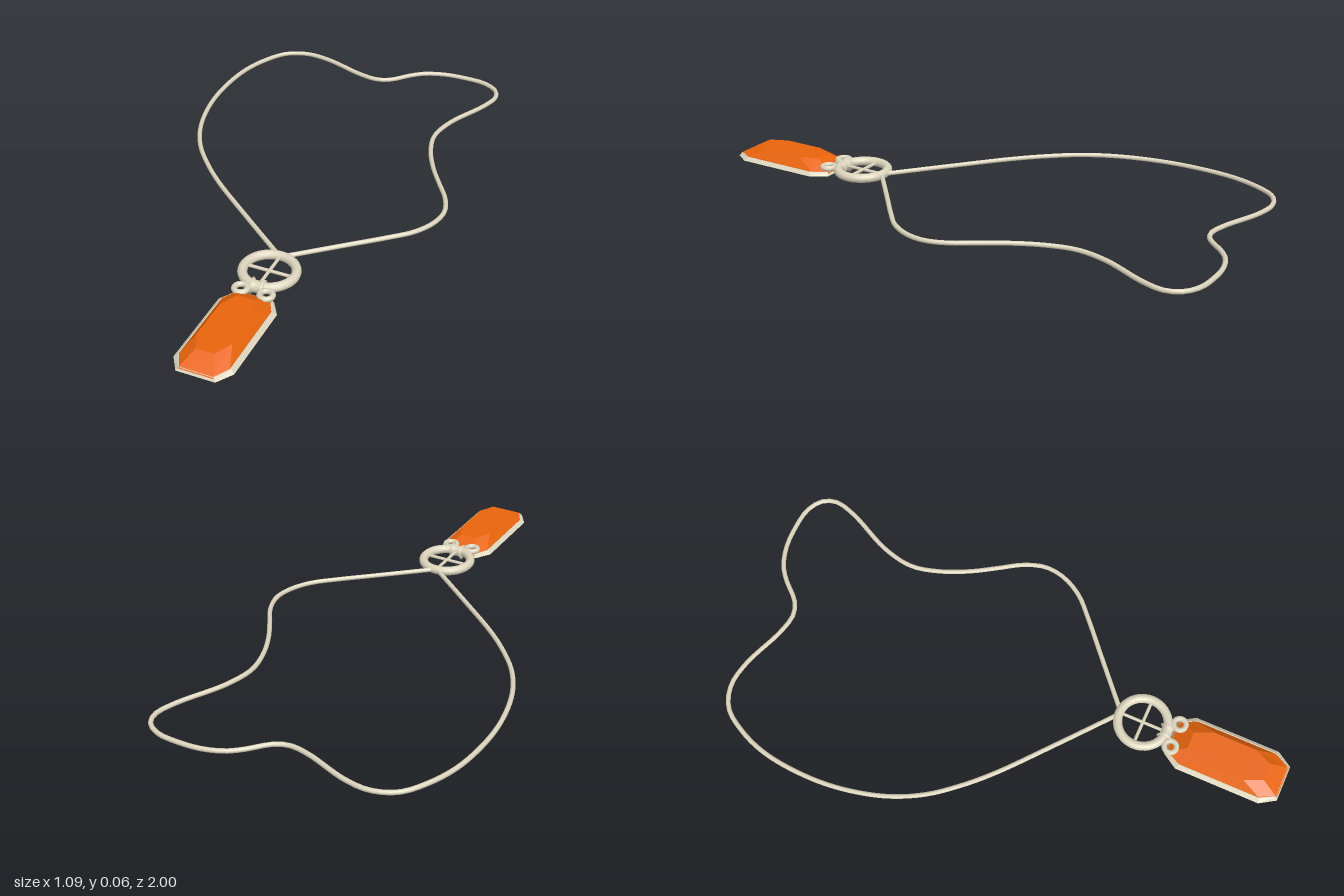
import * as THREE from 'three';

const METAL = new THREE.MeshStandardMaterial({ color: 0xddd5bd });
const METAL_FLAT = new THREE.MeshStandardMaterial({ color: 0xddd5bd, flatShading: true });
const GEM = new THREE.MeshStandardMaterial({ color: 0xe8640c, flatShading: true });
const CX = 0.123; // centre line of the pendant

function add(group, name, geometry, material, x = 0, y = 0, z = 0) {
  const mesh = new THREE.Mesh(geometry, material);
  mesh.name = name;
  mesh.position.set(x, y, z);
  group.add(mesh);
  return mesh;
}

// Rod between two points
function rod(group, name, a, b, r) {
  const dir = b.clone().sub(a);
  const mid = a.clone().add(b).multiplyScalar(0.5);
  const mesh = add(group, name, new THREE.CylinderGeometry(r, r, dir.length(), 8), METAL, mid.x, mid.y, mid.z);
  mesh.quaternion.setFromUnitVectors(new THREE.Vector3(0, 1, 0), dir.normalize());
}

// Faceted solid lofted through elongated octagons:
// w half width, s half straight side, e half end edge, l half length
function octagonLoft(levels) {
  const rings = levels.map(({ y, w, s, e, l }) =>
    [[w, s], [w, -s], [e, -l], [-e, -l], [-w, -s], [-w, s], [-e, l], [e, l]].map(([x, z]) => [x, y, z]));
  const pos = [];
  const tri = (a, b, c) => pos.push(...a, ...b, ...c);
  for (let k = 0; k < rings.length - 1; k++) {
    for (let i = 0; i < 8; i++) {
      const j = (i + 1) % 8, lo = rings[k], hi = rings[k + 1];
      tri(lo[i], lo[j], hi[j]);
      tri(lo[i], hi[j], hi[i]);
    }
  }
  const bottom = rings[0], top = rings[rings.length - 1];
  for (let i = 1; i < 7; i++) {
    tri(top[0], top[i], top[i + 1]);
    tri(bottom[0], bottom[i + 1], bottom[i]);
  }
  const g = new THREE.BufferGeometry();
  g.setAttribute('position', new THREE.Float32BufferAttribute(pos, 3));
  g.computeVertexNormals();
  return g;
}

export function createModel() {
  const model = new THREE.Group();
  model.name = 'necklace';

  // Cord lying in a loose loop, given as x, z points
  const path = [
    [0.105, 0.37], [-0.08, 0.22], [-0.26, 0.07], [-0.35, -0.02], [-0.43, -0.12], [-0.49, -0.24],
    [-0.528, -0.39], [-0.538, -0.53], [-0.522, -0.69], [-0.483, -0.8], [-0.425, -0.885],
    [-0.345, -0.918], [-0.25, -0.908], [-0.09, -0.852], [-0.015, -0.84], [0.035, -0.858],
    [0.1, -0.925], [0.145, -0.96], [0.22, -0.986], [0.305, -0.992], [0.385, -0.984],
    [0.44, -0.951], [0.46, -0.9], [0.44, -0.82], [0.36, -0.65], [0.337, -0.535], [0.36, -0.43],
    [0.405, -0.33], [0.46, -0.24], [0.51, -0.16], [0.534, -0.08], [0.522, -0.005],
    [0.48, 0.07], [0.41, 0.137], [0.285, 0.245], [0.141, 0.37],
  ].map(([x, z]) => new THREE.Vector3(x, 0.031, z));
  add(model, 'cord', new THREE.TubeGeometry(new THREE.CatmullRomCurve3(path), 140, 0.0085, 8), METAL);

  // Large ring with crossed bars
  const ringZ = 0.468, ringY = 0.032;
  add(model, 'largeRing', new THREE.TorusGeometry(0.089, 0.0165, 12, 40).rotateX(Math.PI / 2), METAL, CX, ringY, ringZ);
  for (const [dx, dz] of [[0.085, 0], [0, 0.085]]) {
    rod(model, 'crossBar', new THREE.Vector3(CX - dx, ringY, ringZ - dz),
      new THREE.Vector3(CX + dx, ringY, ringZ + dz), 0.006);
  }

  // Flared collar clasping the large ring
  const profile = [[0.017, -0.024], [0.029, -0.021], [0.021, -0.013], [0.021, 0.013], [0.029, 0.021], [0.017, 0.024]]
    .map(([r, h]) => new THREE.Vector2(r, h));
  const collarZ = ringZ + 0.089;
  const collarMat = METAL.clone();
  collarMat.side = THREE.DoubleSide;
  add(model, 'collar', new THREE.LatheGeometry(profile, 16).rotateZ(Math.PI / 2), collarMat, CX, 0.029, collarZ);

  // Two small links joining collar and pendant
  for (const side of [-1, 1]) {
    const x = CX + side * 0.045;
    add(model, 'smallLink', new THREE.TorusGeometry(0.022, 0.01, 8, 20).rotateX(Math.PI / 2), METAL, x, 0.033, 0.59);
    rod(model, 'linkArm', new THREE.Vector3(CX + side * 0.01, 0.03, collarZ + 0.005),
      new THREE.Vector3(CX + side * 0.028, 0.032, 0.577), 0.008);
  }

  // Pendant: bevelled metal backing and faceted gem
  const pendant = new THREE.Group();
  pendant.name = 'pendant';
  pendant.position.set(CX, 0, 0.789);
  model.add(pendant);
  add(pendant, 'backing', octagonLoft([
    { y: 0.004, w: 0.103, s: 0.155, e: 0.067, l: 0.211 },
    { y: 0.016, w: 0.09, s: 0.148, e: 0.059, l: 0.203 },
  ]), METAL_FLAT);
  add(pendant, 'gem', octagonLoft([
    { y: 0.012, w: 0.088, s: 0.15, e: 0.06, l: 0.207 },
    { y: 0.018, w: 0.086, s: 0.147, e: 0.057, l: 0.2 },
    { y: 0.05, w: 0.06, s: 0.077, e: 0.032, l: 0.142 },
  ]), GEM);

  return model;
}
